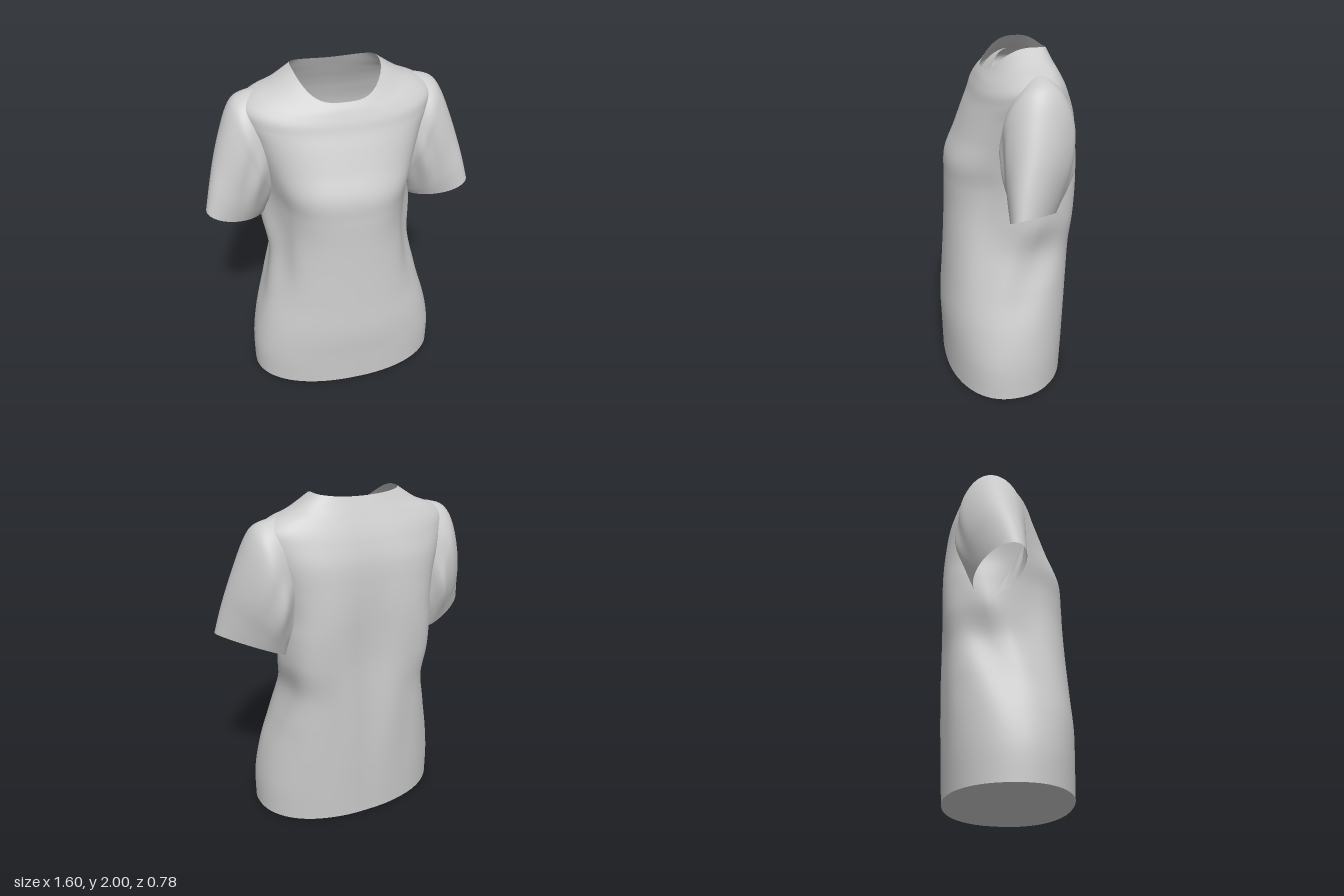
import * as THREE from 'three';

const fabric = new THREE.MeshStandardMaterial({ color: 0xcccccc, side: THREE.DoubleSide });

// Smooth interpolation through rows of numbers, s in 0..1
function sample(rows, s) {
  const f = s * (rows.length - 1);
  const i = Math.min(Math.floor(f), rows.length - 2);
  const t = f - i;
  const a = rows[Math.max(i - 1, 0)], b = rows[i], c = rows[i + 1], d = rows[Math.min(i + 2, rows.length - 1)];
  return b.map((p, k) => {
    const m0 = (c[k] - a[k]) / 2, m1 = (d[k] - p) / 2, q = c[k];
    return p + t * (m0 + t * (3 * (q - p) - 2 * m0 - m1 + t * (2 * (p - q) + m0 + m1)));
  });
}

// Open tube through closed rings; point(angle, s) gives [x, y, z]
function loft(point, around, along) {
  const pos = [], index = [];
  for (let j = 0; j <= along; j++) {
    for (let i = 0; i < around; i++) {
      pos.push(...point((i / around) * Math.PI * 2, j / along));
      if (j === along) continue;
      const a = j * around + i, b = j * around + ((i + 1) % around);
      index.push(a, a + around, b, b, a + around, b + around);
    }
  }
  const g = new THREE.BufferGeometry();
  g.setAttribute('position', new THREE.Float32BufferAttribute(pos, 3));
  g.setIndex(index);
  g.computeVertexNormals();
  return g;
}

const bump = (v, centre, width) => Math.exp(-(((v - centre) / width) ** 2));
const signedPow = (v, e) => Math.sign(v) * Math.abs(v) ** e;

// Body rings: side y, front y, back y, front half width, back half width, front z, back z, middle z, squareness
const bodyRows = [
  [0.00, 0.00, 0.00, 0.60, 0.60, 0.39, -0.35, 0.05, 2.2],
  [0.20, 0.20, 0.20, 0.595, 0.595, 0.395, -0.36, 0.05, 2.2],
  [0.40, 0.40, 0.40, 0.555, 0.56, 0.40, -0.37, 0.03, 2.2],
  [0.62, 0.62, 0.62, 0.48, 0.495, 0.385, -0.38, 0.00, 2.3],
  [0.85, 0.85, 0.85, 0.41, 0.44, 0.37, -0.39, -0.02, 2.4],
  [1.05, 1.05, 1.05, 0.375, 0.465, 0.36, -0.395, -0.06, 2.5],
  [1.22, 1.22, 1.22, 0.375, 0.46, 0.355, -0.40, -0.08, 2.6],
  [1.36, 1.36, 1.36, 0.41, 0.45, 0.345, -0.40, -0.09, 2.6],
  [1.50, 1.50, 1.50, 0.455, 0.47, 0.285, -0.39, -0.09, 2.5],
  [1.65, 1.62, 1.64, 0.505, 0.51, 0.235, -0.37, -0.10, 2.4],
  [1.75, 1.70, 1.75, 0.545, 0.545, 0.20, -0.335, -0.10, 2.3],
  [1.825, 1.755, 1.82, 0.545, 0.545, 0.18, -0.305, -0.10, 2.3],
  [1.88, 1.80, 1.88, 0.48, 0.48, 0.16, -0.275, -0.11, 2.3],
  [1.925, 1.83, 1.93, 0.37, 0.37, 0.145, -0.25, -0.12, 2.4],
  [2.00, 1.86, 1.98, 0.25, 0.25, 0.125, -0.225, -0.13, 2.6],
];

function bodyPoint(angle, s) {
  const [ySide, yFront, yBack, wF, wB, zF, zB, zMid, n] = sample(bodyRows, s);
  const isFront = Math.sin(angle) > 0;
  const e = 2 / (isFront ? n : n + 0.6 * bump(ySide, 1.2, 0.6));
  const c = signedPow(Math.cos(angle), e), d = signedPow(Math.sin(angle), e);
  const w = wB + (wF - wB) * THREE.MathUtils.smoothstep(d, -0.1, 0.6);
  const yMid = isFront ? yFront : yBack;
  const y = yMid + (ySide - yMid) * Math.abs(c) ** (isFront ? 3.5 : 2);
  let x = c * w;
  let z = zMid + d * (isFront ? zF - zMid : zMid - zB);
  // hollow between the shoulder blades and long soft back folds
  if (!isFront) z += -d * (0.045 * bump(x, 0, 0.17) * bump(y, 1.2, 0.5) + 0.005 * Math.cos(x * 24) * bump(y, 0.7, 0.45));
  // drape folds hanging from the armpits
  x += Math.sign(c) * Math.abs(c) ** 3 * 0.01 * Math.sin(z * 20 + y * 9) * bump(y, 0.85, 0.35);
  return [x, y, z];
}

// Sleeve rings: outer x y z, inner x y z, front reach, back reach
const sleeveRows = [
  [0.40, 1.90, -0.11, 0.34, 1.40, -0.10, 0.13, 0.12],
  [0.50, 1.882, -0.11, 0.36, 1.33, -0.10, 0.175, 0.16],
  [0.575, 1.853, -0.10, 0.38, 1.27, -0.10, 0.20, 0.19],
  [0.622, 1.79, -0.09, 0.40, 1.22, -0.11, 0.20, 0.20],
  [0.67, 1.675, -0.07, 0.42, 1.18, -0.115, 0.19, 0.195],
  [0.72, 1.53, -0.04, 0.43, 1.15, -0.12, 0.17, 0.175],
  [0.763, 1.38, 0.00, 0.435, 1.12, -0.13, 0.145, 0.145],
  [0.80, 1.23, 0.03, 0.44, 1.10, -0.14, 0.12, 0.115],
];

function sleevePoint(side, angle, s) {
  const [ox, oy, oz, ix, iy, iz, front, back] = sample(sleeveRows, s);
  const c = Math.cos(angle), d = Math.sin(-side * angle);
  const k = (1 + c) / 2;
  // wrinkles gathered on the armpit half
  const wrinkle = 0.012 * Math.sin(k * 17 + s * 3) * bump(k, 0.35, 0.3) * bump(s, 0.5, 0.25);
  return [
    side * (ix + (ox - ix) * k),
    iy + (oy - iy) * k - 0.02 * d * s,
    iz + (oz - iz) * k + d * ((d > 0 ? front : back) + wrinkle),
  ];
}

export function createModel() {
  const group = new THREE.Group();
  group.name = 'shirt';
  const add = (name, geometry) => {
    const mesh = new THREE.Mesh(geometry, fabric);
    mesh.name = name;
    group.add(mesh);
  };

  add('body', loft(bodyPoint, 128, 112));

  // flat panel closing the hem
  const outline = Array.from({ length: 128 }, (_, i) => {
    const [x, , z] = bodyPoint((i / 128) * Math.PI * 2, 0);
    return new THREE.Vector2(x, z);
  });
  add('hemPanel', new THREE.ShapeGeometry(new THREE.Shape(outline)).rotateX(Math.PI / 2));

  for (const side of [1, -1]) {
    add(side > 0 ? 'leftSleeve' : 'rightSleeve', loft((a, s) => sleevePoint(side, a, s), 72, 56));
  }
  return group;
}
